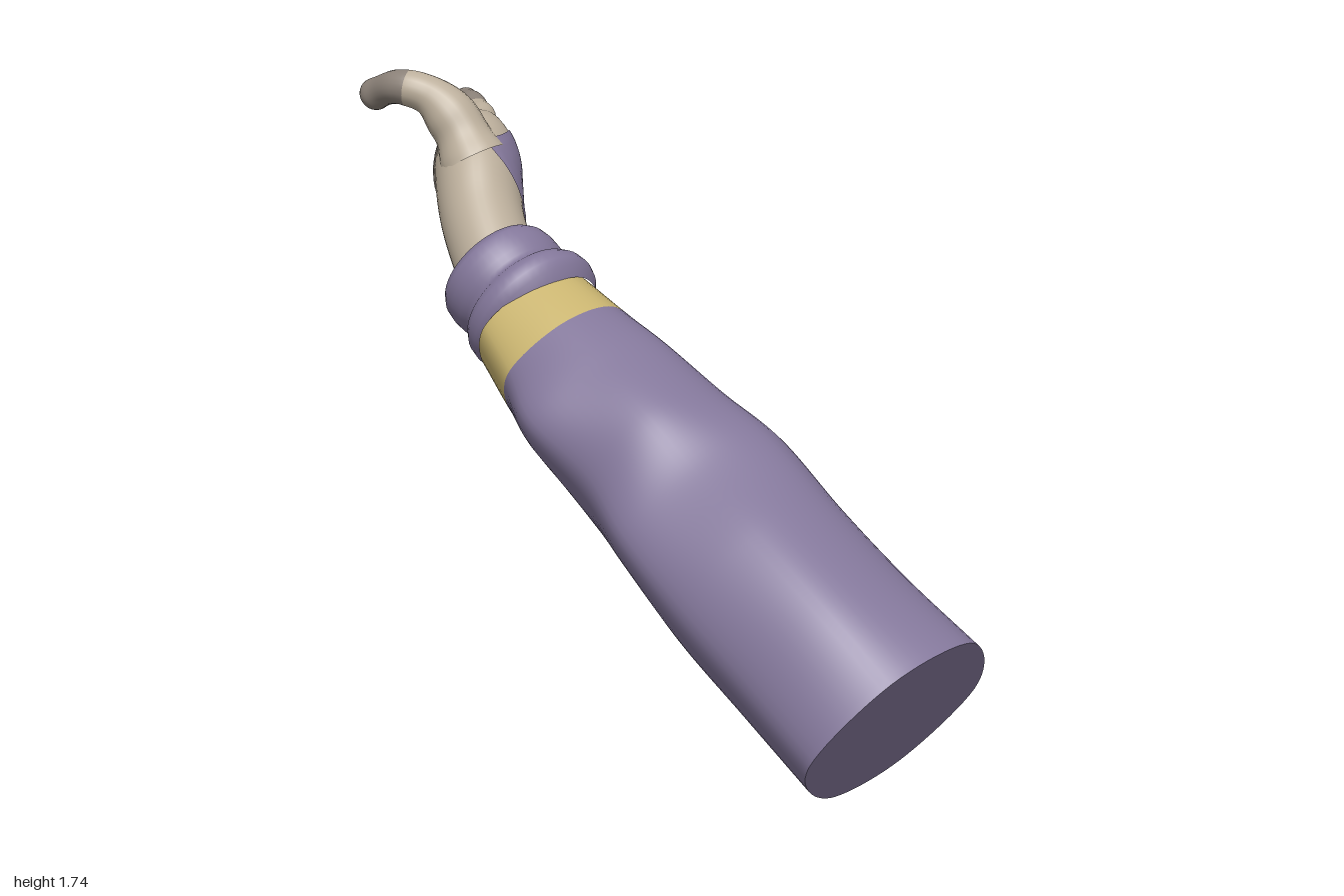
import * as THREE from 'three';

const V = (x, y, z) => new THREE.Vector3(x, y, z);
const paint = (name, color) => Object.assign(new THREE.MeshStandardMaterial({ color }), { name });

// Skin over a stack of closed rings; materials change at the given rows
function loft(rings, splits = []) {
  const n = rings[0].length, rows = rings.length - 1, index = [];
  for (let i = 0; i < rows; i++) for (let j = 0; j < n; j++) {
    const k = (j + 1) % n, a = i * n + j, b = i * n + k, c = b + n, d = a + n;
    index.push(a, b, c, a, c, d);
  }
  const geo = new THREE.BufferGeometry().setFromPoints(rings.flat());
  geo.setIndex(index);
  geo.computeVertexNormals();
  const marks = [0, ...splits, rows];
  for (let g = 0; splits.length && g < marks.length - 1; g++)
    geo.addGroup(marks[g] * n * 6, (marks[g + 1] - marks[g]) * n * 6, g);
  return geo;
}

// Ring of points round a centre; e1 x e2 points along the limb
function ring(c, e1, e2, r1, r2, n = 40) {
  return Array.from({ length: n }, (_, j) => {
    const a = j / n * Math.PI * 2;
    return c.clone().addScaledVector(e1, Math.cos(a) * r1).addScaledVector(e2, Math.sin(a) * r2);
  });
}

// Smooth a few rings into many, lane by lane
function smooth(rings, rows) {
  const lanes = rings[0].map((_, j) =>
    new THREE.CatmullRomCurve3(rings.map(r => r[j]), false, 'catmullrom').getPoints(rows));
  return Array.from({ length: rows + 1 }, (_, i) => lanes.map(l => l[i]));
}

export function createModel() {
  const model = new THREE.Group();
  const purple = paint('purple cloth', 0x83779a), gold = paint('gold band', 0xc9b470);
  const skin = paint('pale glove', 0xbbae9b), grey = paint('grey grip', 0x8b8178);
  const add = (name, geo, mat) => {
    const mesh = new THREE.Mesh(geo, mat);
    mesh.name = name;
    model.add(mesh);
    return mesh;
  };

  // Arm axis, from the cut end to the wrist
  const start = V(0.76, 0.26, 0.67), end = V(-0.5, 1.2, -0.22);
  const dir = end.clone().sub(start).normalize();
  const e1 = V(0.598, 0.802, 0), e2 = dir.clone().cross(e1).normalize();
  const along = t => start.clone().lerp(end, t);

  // Sleeve: rumpled radii at six angles for each station
  const angles = [0, 70, 123, 180, 250, 303];
  const stations = [
    [0.00, 0.31, 0.34, 0.30, 0.28, 0.345, 0.325],
    [0.15, 0.29, 0.33, 0.295, 0.285, 0.345, 0.34],
    [0.30, 0.285, 0.325, 0.30, 0.285, 0.35, 0.32],
    [0.45, 0.29, 0.335, 0.31, 0.26, 0.335, 0.27],
    [0.57, 0.26, 0.305, 0.25, 0.265, 0.29, 0.28],
    [0.70, 0.235, 0.26, 0.25, 0.24, 0.315, 0.24],
    [0.80, 0.20, 0.26, 0.25, 0.243, 0.25, 0.205],
    [0.90, 0.17, 0.245, 0.20, 0.216, 0.205, 0.165],
  ];
  const sleeveRings = smooth(stations.map(([t, ...radii]) => {
    const pts = radii.map((r, k) => {
      const a = THREE.MathUtils.degToRad(angles[k]);
      return along(t).addScaledVector(e1, Math.cos(a) * r).addScaledVector(e2, Math.sin(a) * r);
    });
    const loop = new THREE.CatmullRomCurve3(pts, true, 'centripetal');
    return Array.from({ length: 60 }, (_, j) => loop.getPoint(j / 60));
  }), 84);
  add('sleeve', loft(sleeveRings, [72]), [purple, gold]);
  const rim = sleeveRings[0];
  add('sleeveEnd', loft([rim.map(() => start.clone()), rim]), purple);

  // Cuff with two rolled folds and a lip tucked in round the wrist
  const cuff = [[0.885, 0.18], [0.9, 0.205], [0.915, 0.214], [0.932, 0.21], [0.945, 0.195], [0.952, 0.178],
    [0.96, 0.178], [0.97, 0.187], [0.99, 0.189], [1.008, 0.184], [1.02, 0.17], [1.022, 0.15], [1.0, 0.115]];
  add('cuff', loft(cuff.map(([t, r]) =>
    ring(along(t).addScaledVector(e2, (1.02 - t) * 0.2), e1, e2, r, r, 48))), purple);

  // Wrist and palm: centre, half width, half thickness, lean of the width axis
  const sections = [
    [-0.46, 1.14, -0.16, 0.115, 0.115, 39],
    [-0.51, 1.215, -0.24, 0.128, 0.122, 39],
    [-0.58, 1.325, -0.36, 0.14, 0.125, 37],
    [-0.62, 1.41, -0.47, 0.168, 0.13, 25],
    [-0.645, 1.46, -0.57, 0.165, 0.128, 12],
    [-0.65, 1.475, -0.66, 0.145, 0.088, 4],
    [-0.655, 1.48, -0.705, 0.115, 0.055, 0],
    [-0.655, 1.48, -0.718, 0.01, 0.005, 0],
  ];
  const centres = sections.map(s => V(s[0], s[1], s[2]));
  const hand = add('hand', loft(smooth(sections.map(([, , , w, h, lean], i) => {
    const a = THREE.MathUtils.degToRad(lean), wide = V(0, Math.cos(a), Math.sin(a));
    const t = centres[Math.min(i + 1, 7)].clone().sub(centres[Math.max(i - 1, 0)]);
    return ring(centres[i], wide, t.cross(wide).normalize(), w, h);
  }), 56)), skin);

  // Digits: rounded tapering tubes with soft joints and a grey outer half
  function digit(name, pts, r0, r1, split) {
    const curve = new THREE.CatmullRomCurve3(pts), n = 48, len = curve.getLength();
    const f = curve.computeFrenetFrames(n);
    const rings = f.tangents.map((_, i) => {
      const u = i / n, left = (1 - u) * len;
      let r = THREE.MathUtils.lerp(r0, r1, Math.min(1, u * 1.5)) * (1 + 0.05 * Math.cos(u * 19));
      if (left < r) r *= Math.sqrt(1 - (1 - left / r) ** 2);
      return ring(curve.getPointAt(u), f.normals[i], f.binormals[i], r, r, 20);
    });
    add(name, loft(rings, [Math.round(split * n)]), [skin, grey]);
  }
  // name, knuckle y, tip y, tip z, radius
  [['indexFinger', 1.57, 1.605, -0.91, 0.043], ['middleFinger', 1.505, 1.515, -0.97, 0.046],
    ['ringFinger', 1.435, 1.425, -0.94, 0.043], ['littleFinger', 1.375, 1.33, -0.85, 0.035],
  ].forEach(([name, y0, y1, tip, r]) => {
    const reach = tip + 0.6;
    digit(name, [V(-0.635, y0, -0.6), V(-0.675, (y0 + y1) / 2, -0.6 + reach * 0.4),
      V(-0.73, y1, -0.6 + reach * 0.72), V(-0.775, y1, tip)], r + 0.004, r, 0.5);
  });
  digit('thumb', [V(-0.63, 1.5, -0.45), V(-0.69, 1.61, -0.475), V(-0.765, 1.685, -0.48),
    V(-0.86, 1.71, -0.485), V(-0.94, 1.685, -0.53), V(-0.99, 1.655, -0.56)], 0.1, 0.05, 0.62);

  // Pads: rounded squares laid on the hand from one side
  hand.updateMatrixWorld();
  function pad(name, side, y, z, h, w, mat) {
    const ray = new THREE.Raycaster();
    const rings = [0, 0.2, 0.4, 0.6, 0.8, 0.9, 1].map(s => Array.from({ length: 40 }, (_, j) => {
      const a = j / 40 * Math.PI * 2, c = Math.cos(a), d = Math.sin(a);
      const k = s / (c ** 6 + d ** 6) ** (1 / 6);
      let hit;
      for (let q = 1; !hit && q >= 0; q -= 0.05) {
        ray.set(V(side * 2, y + c * k * q * h, z + d * k * q * w), V(-side, 0, 0));
        hit = ray.intersectObject(hand)[0];
      }
      return hit.point.clone().addScaledVector(hit.face.normal, 0.005);
    }));
    if (side < 0) rings.forEach(r => r.reverse());
    const m = mat.clone();
    m.side = THREE.DoubleSide;
    add(name, loft(rings), m);
  }
  pad('backOfHandPad', 1, 1.44, -0.51, 0.13, 0.11, purple);
  pad('palmPad', -1, 1.44, -0.56, 0.11, 0.07, grey);

  return model;
}
